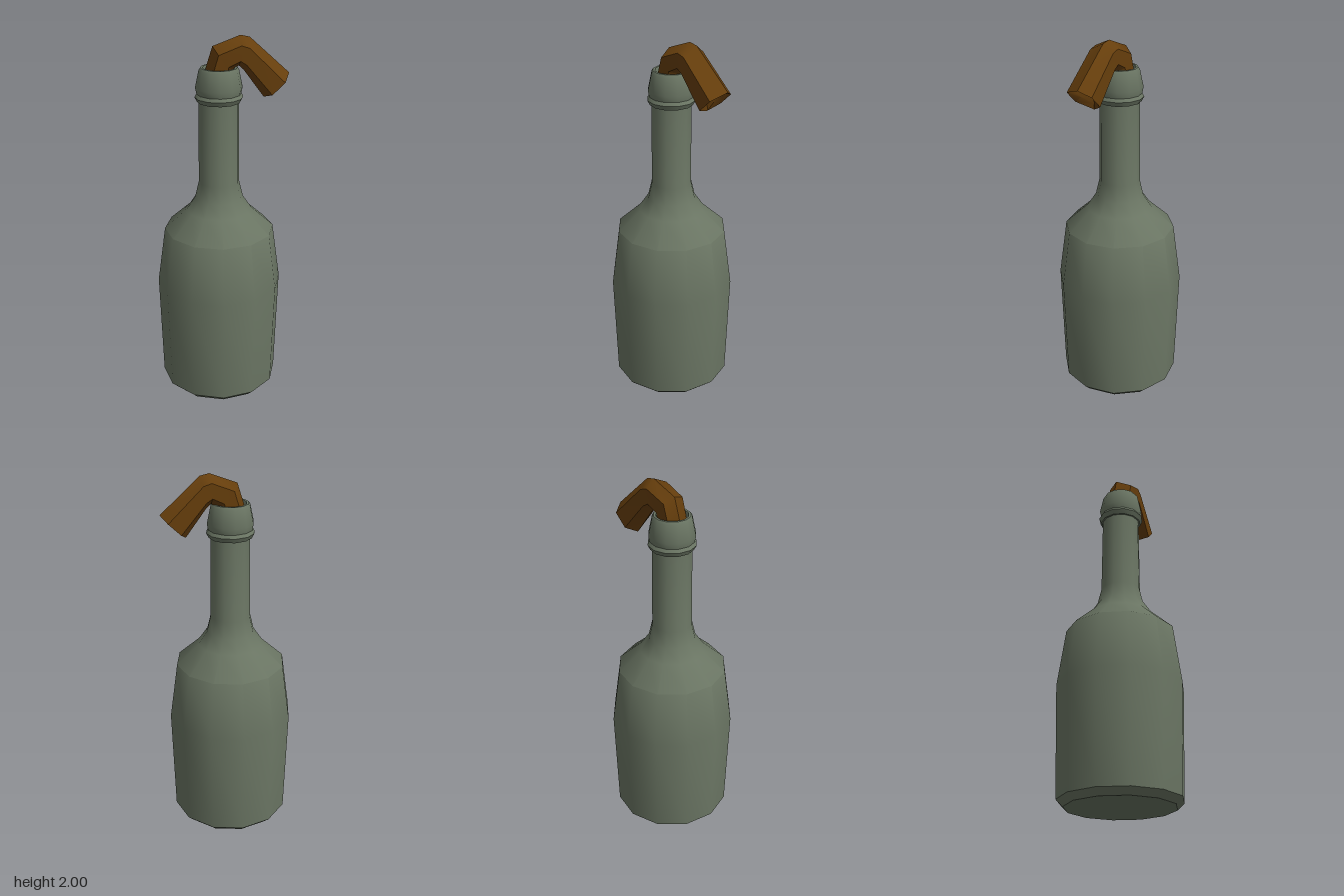
import * as THREE from 'three';
import { toCreasedNormals } from 'three/addons/utils/BufferGeometryUtils.js';

const SIDES = 12;
const CENTRE_X = -0.013;

// Turned part with soft sides and sharp rims
function turned(name, profile, material, crease = 0.73) {
  const points = profile.map(([r, y]) => new THREE.Vector2(r, y));
  const geometry = toCreasedNormals(new THREE.LatheGeometry(points, SIDES), crease);
  const mesh = new THREE.Mesh(geometry, material);
  mesh.name = name;
  mesh.position.x = CENTRE_X;
  return mesh;
}

// Bent six-sided cloth; each section has an outer ridge, an inner ridge and a half width
function clothGeometry() {
  const sections = [
    { outer: [-0.092, 1.72], inner: [0.06, 1.72], half: 0.065 },
    { outer: [-0.08, 1.83], inner: [0.055, 1.79], half: 0.065 },
    { outer: [-0.045, 1.942], inner: [0.058, 1.82], half: 0.066 },
    { outer: [0.098, 1.997], inner: [0.09, 1.842], half: 0.069 },
    { outer: [0.145, 1.987], inner: [0.115, 1.82], half: 0.07 },
    { outer: [0.352, 1.8], inner: [0.222, 1.675], half: 0.077 },
  ];
  const ring = ({ outer, inner, half }, scale = () => 1, shift = [0, 0]) => {
    const cx = (outer[0] + inner[0]) / 2, cy = (outer[1] + inner[1]) / 2;
    const dx = outer[0] - cx, dy = outer[1] - cy;
    return Array.from({ length: 6 }, (_, k) => {
      const c = Math.cos(k * Math.PI / 3) * scale(k);
      const s = Math.sin(k * Math.PI / 3) / 0.866 * scale(k);
      // ridges sit slightly off centre
      const z = s * half - (k % 3 === 0 ? 0.016 : 0);
      return [cx + dx * c + shift[0], cy + dy * c + shift[1], z];
    });
  };
  const end = sections[sections.length - 1];
  const rings = sections.map((s) => ring(s));
  // folded hollow in the loose end
  rings.push(ring(end, (k) => (k % 2 ? 0.8 : 0.5), [-0.015, 0.015]));
  rings.push(ring(end, (k) => (k % 2 ? 0.45 : 0.25), [-0.05, 0.052]));
  rings.push(ring(end, () => 0.001, [-0.05, 0.052]));

  const index = [];
  for (let i = 0; i < rings.length - 1; i++) {
    for (let k = 0; k < 6; k++) {
      const n = (k + 1) % 6;
      const a = i * 6 + k, b = i * 6 + n, c = b + 6, d = a + 6;
      index.push(a, b, c, a, c, d);
    }
  }
  const geometry = new THREE.BufferGeometry();
  geometry.setAttribute('position', new THREE.Float32BufferAttribute(rings.flat(2), 3));
  geometry.setIndex(index);
  return toCreasedNormals(geometry, 0.75);
}

export function createModel() {
  const glass = new THREE.MeshStandardMaterial({ color: 0x6a7563 });
  glass.name = 'greyGreenGlass';
  const cloth = new THREE.MeshStandardMaterial({ color: 0x663e0c });
  cloth.name = 'brownCloth';

  const model = new THREE.Group();
  model.name = 'bottleWithRag';

  // Base, body, shoulder and neck
  model.add(turned('bottleBody', [
    [0, 0], [0.29, 0], [0.326, 0.035], [0.342, 0.635], [0.298, 0.95],
    [0.177, 1.06], [0.13, 1.13], [0.109, 1.22], [0.105, 1.67],
  ], glass));

  // Thin ring below the lip
  model.add(turned('neckRing', [
    [0.1, 1.66], [0.114, 1.66], [0.127, 1.685], [0.114, 1.706], [0.1, 1.706],
  ], glass));

  // Lip with an open mouth
  model.add(turned('bottleLip', [
    [0.1, 1.695], [0.116, 1.7], [0.123, 1.735], [0.104, 1.825], [0.096, 1.838],
    [0.084, 1.838], [0.078, 1.82], [0.078, 1.73], [0, 1.73],
  ], glass));

  // Rag hanging from the mouth
  const rag = new THREE.Mesh(clothGeometry(), cloth);
  rag.name = 'rag';
  model.add(rag);

  return model;
}
